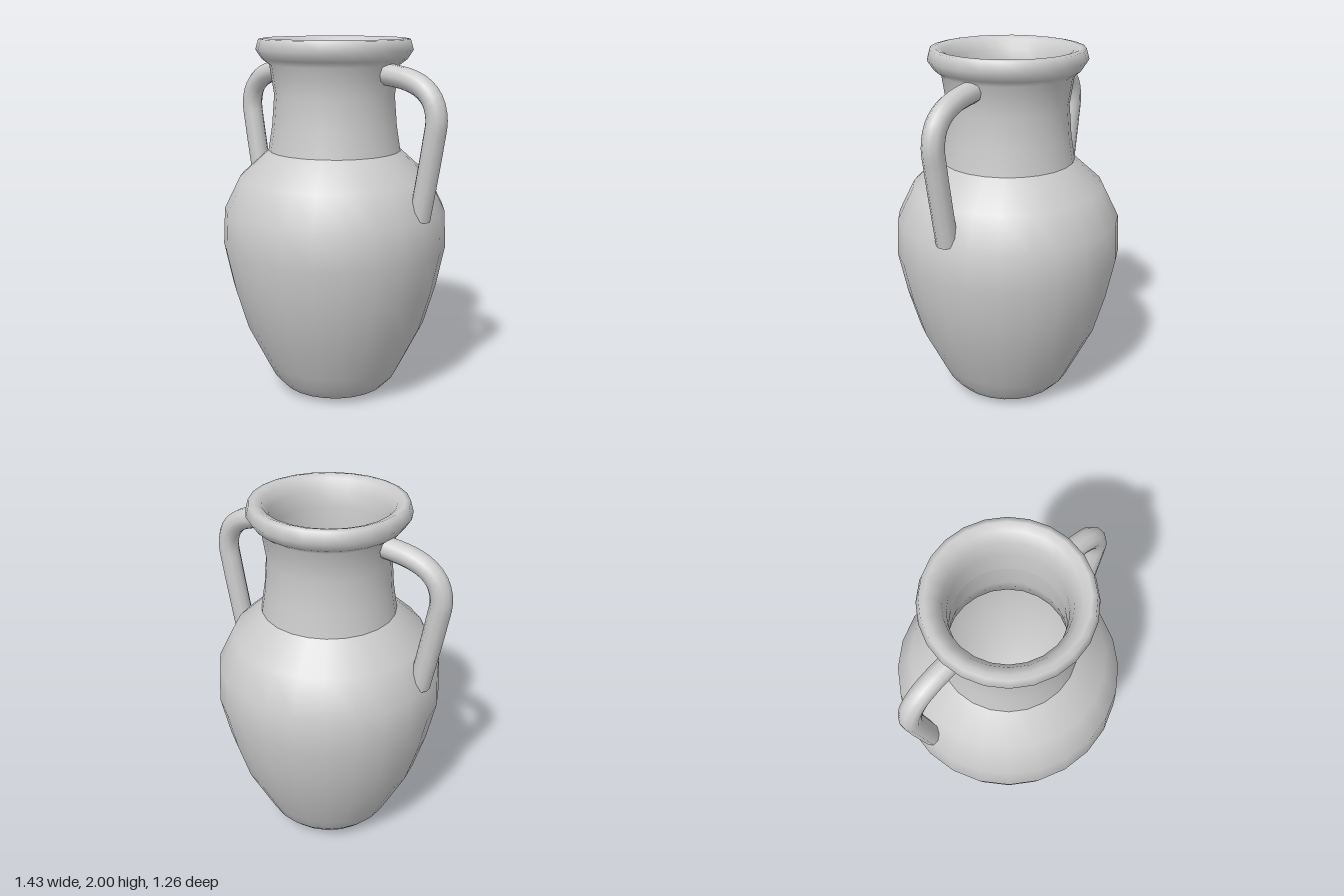
import * as THREE from 'three';

const material = new THREE.MeshStandardMaterial({ color: 0xcccccc, side: THREE.DoubleSide });
const toPoints = (list) => list.map(([x, y]) => new THREE.Vector2(x, y));

function lathe(name, profile) {
  const mesh = new THREE.Mesh(new THREE.LatheGeometry(toPoints(profile), 24), material);
  mesh.name = name;
  return mesh;
}

// Round tube that runs from the neck, over a shoulder bend, down into the body
function handle(name, side) {
  const path = [
    [0.31, 1.825], [0.4, 1.815], [0.49, 1.798], [0.575, 1.762], [0.635, 1.7],
    [0.66, 1.61], [0.645, 1.49], [0.607, 1.27], [0.572, 1.08],
  ].map(([x, y]) => new THREE.Vector3(side * x, y, -0.013));
  const geometry = new THREE.TubeGeometry(new THREE.CatmullRomCurve3(path), 28, 0.058, 10);
  const mesh = new THREE.Mesh(geometry, material);
  mesh.name = name;
  return mesh;
}

export function createModel() {
  const vase = new THREE.Group();
  vase.name = 'vase';

  // Base, belly and shoulder
  vase.add(lathe('body', [
    [0, 0], [0.22, 0], [0.305, 0.03], [0.36, 0.09], [0.405, 0.18], [0.515, 0.405],
    [0.58, 0.63], [0.628, 0.865], [0.617, 1.07], [0.527, 1.25], [0.367, 1.395],
  ]));

  // Neck flaring into the rolled rim
  vase.add(lathe('neckAndRim', [
    [0.367, 1.395], [0.345, 1.53], [0.331, 1.7], [0.355, 1.86], [0.395, 1.89],
    [0.428, 1.94], [0.412, 1.995], [0.385, 2], [0.345, 1.985], [0.31, 1.93],
    [0.293, 1.84], [0.29, 1.7],
  ]));

  // Hollow inside, from the neck down to the floor
  vase.add(lathe('interior', [
    [0.29, 1.7], [0.3, 1.53], [0.325, 1.385], [0.48, 1.24], [0.565, 1.06], [0.577, 0.865],
    [0.53, 0.63], [0.465, 0.405], [0.36, 0.19], [0.26, 0.08], [0, 0.05],
  ]));

  vase.add(handle('leftHandle', 1), handle('rightHandle', -1));
  return vase;
}
